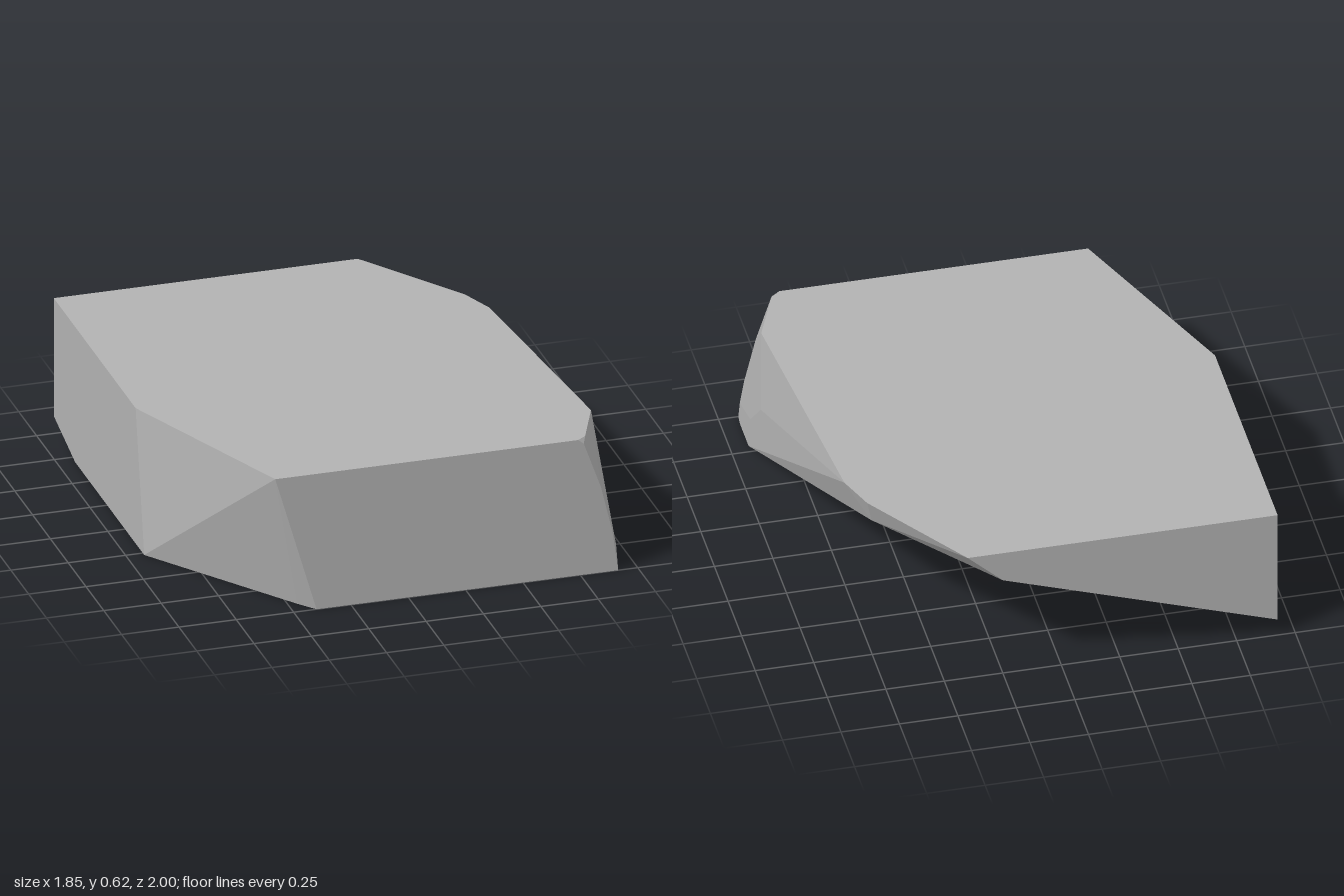
import * as THREE from 'three';
import { ConvexGeometry } from 'three/addons/geometries/ConvexGeometry.js';

const HEIGHT = 0.62;

export function createModel() {
  const group = new THREE.Group();
  group.name = 'rock';
  const stone = new THREE.MeshStandardMaterial({ color: 0xb2b2b2 });
  stone.name = 'stone grey';

  // Flat top outline, as x, z
  const top = [
    [-0.925, -1], [0.4, -1], [0.72, -0.53], [0.78, -0.37], [0.88, 0.73],
    [0.78, 0.97], [0.74, 1], [-0.58, 1], [-0.925, 0.15],
  ].map(([x, z]) => new THREE.Vector3(x, HEIGHT, z));

  // Flat base outline, as x, z
  const base = [
    [-0.925, -0.7], [-0.925, 0.27], [-0.46, 0.925], [-0.4, 1],
    [0.915, 1], [0.92, 0.95], [0.92, 0.79],
  ].map(([x, z]) => new THREE.Vector3(x, 0, z));

  // Chipped corners between top and base, as x, y, z
  const chips = [
    [-0.925, 0.08, -1], [0.25, 0.48, -1], [0.69, 0.49, -0.48], // undercut back
    [0.905, 0.3, 0.63], [0.92, 0.16, 0.76], [0.918, 0.1, 0.96], // left side
    [0.765, 0.6, 1], [0.84, 0.39, 1], [0.89, 0.18, 1], // curved front edge
  ].map((p) => new THREE.Vector3(...p));

  const body = new THREE.Mesh(new ConvexGeometry([...top, ...base, ...chips]), stone);
  body.name = 'rockBody';
  group.add(body);
  return group;
}
